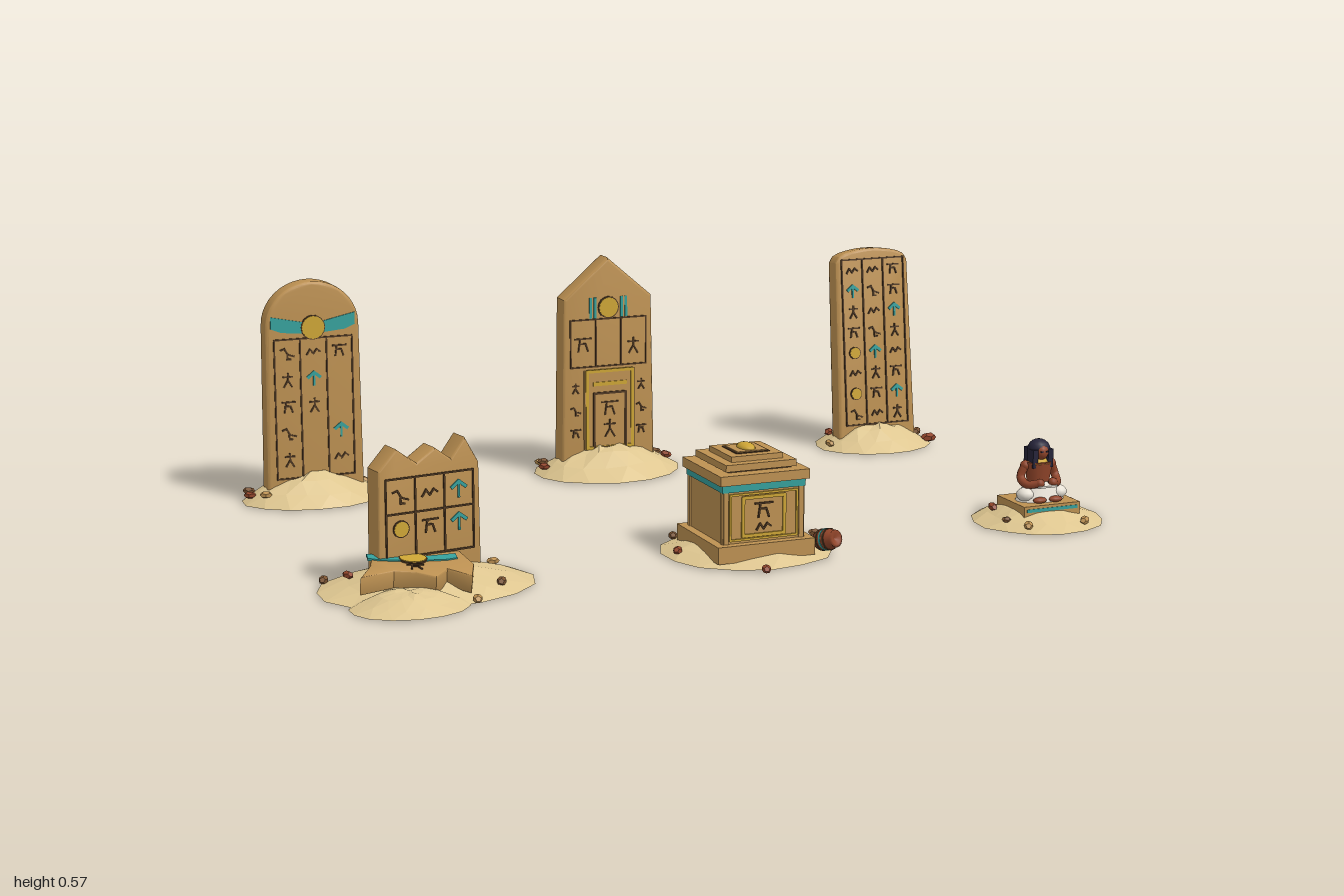
import * as THREE from 'three';
import { mergeGeometries, toCreasedNormals } from 'three/addons/utils/BufferGeometryUtils.js';

const mat = (name, color, flat = false) => {
  const m = new THREE.MeshStandardMaterial({ color, flatShading: flat });
  m.name = name;
  return m;
};
const M = {
  stone: mat('sandstone', 0xbd9152), sand: mat('sand', 0xdec690, true),
  dark: mat('carved shadow', 0x4f3822), teal: mat('turquoise', 0x35a09c),
  gold: mat('gold', 0xcda535), skin: mat('terracotta', 0x91452a),
  hair: mat('black hair', 0x26243a), linen: mat('white linen', 0xe8e2d6),
  rock: mat('brown rock', 0x7a5230, true),
};

let seed = 7;
const rnd = () => (seed = (seed * 16807) % 2147483647) / 2147483647;

function add(parent, name, geo, material, x = 0, y = 0, z = 0, rx = 0, ry = 0, rz = 0) {
  const m = new THREE.Mesh(geo, material);
  m.name = name;
  m.position.set(x, y, z);
  m.rotation.set(rx, ry, rz);
  parent.add(m);
  return m;
}
const box = (w, h, d) => new THREE.BoxGeometry(w, h, d);
function group(parent, name, x, z, rx = 0, ry = 0) {
  const g = new THREE.Group();
  g.name = name;
  g.position.set(x, 0, z);
  g.rotation.set(rx, ry, 0);
  parent.add(g);
  return g;
}
function slab(points, depth, b = 0.008) {
  const geo = new THREE.ExtrudeGeometry(new THREE.Shape(points.map(p => new THREE.Vector2(...p))),
    { depth: depth - 2 * b, bevelThickness: b, bevelSize: b, bevelOffset: -b, bevelSegments: 3 });
  geo.translate(0, 0, -depth / 2 + b);
  return toCreasedNormals(geo, 0.6);
}

// Low-poly sand heap: rings of jittered points, closed underneath
const RINGS = [[1, 0], [0.78, 0.42], [0.5, 0.82], [0.25, 1]];
function mound(parent, x, z, rx, rz, h, pebbles = []) {
  const n = 15, pos = [], idx = [];
  RINGS.forEach(([r, y], k) => {
    for (let i = 0; i < n; i++) {
      const a = (i + (k % 2) * 0.5) / n * Math.PI * 2, j = 1 - rnd() * (k ? 0.13 : 0.06);
      pos.push(Math.cos(a) * rx * r * j, h * y * (0.88 + rnd() * 0.2), Math.sin(a) * rz * r * j);
    }
  });
  pos.push(0, h, 0, 0, 0, 0);
  const top = n * RINGS.length;
  for (let i = 0; i < n; i++) {
    const j = (i + 1) % n;
    for (let k = 0; k < RINGS.length - 1; k++) {
      const a = k * n + i, b = k * n + j, c = a + n, d = b + n;
      if (k % 2) idx.push(a, d, b, a, c, d); else idx.push(a, c, b, b, c, d);
    }
    idx.push(top - n + i, top, top - n + j, i, j, top + 1);
  }
  const geo = new THREE.BufferGeometry();
  geo.setAttribute('position', new THREE.Float32BufferAttribute(pos, 3));
  geo.setIndex(idx);
  const flat = geo.toNonIndexed();
  flat.computeVertexNormals();
  add(parent, 'sandMound', flat, M.sand, x, 0, z);
  // loose stones on the slope
  pebbles.forEach(([px, pz, s = 0.014], i) => {
    const r = Math.hypot((px - x) / rx, (pz - z) / rz);
    const p = add(parent, 'pebble', new THREE.DodecahedronGeometry(s), [M.rock, M.skin, M.stone][i % 3],
      px, Math.max(0, h * (1 - r) * 1.6) + s * 0.5, pz, rnd() * 0.4, rnd() * 3, 0);
    p.scale.set(1.15, 0.65, 0.8);
  });
}

// Thin painted and incised details, merged by colour
function carver(parent, z) {
  const bins = { dark: [], teal: [], gold: [] };
  const put = (c, g) => { bins[c].push(g.index ? g.toNonIndexed() : g); };
  const api = {
    line(c, x1, y1, x2, y2, w = 0.004) {
      const g = box(Math.hypot(x2 - x1, y2 - y1) + w * 0.6, w, 0.006);
      g.rotateZ(Math.atan2(y2 - y1, x2 - x1));
      put(c, g.translate((x1 + x2) / 2, (y1 + y2) / 2, z));
    },
    path(c, x, y, s, pts, w) {
      for (let i = 2; i < pts.length; i += 2)
        api.line(c, x + pts[i - 2] * s, y + pts[i - 1] * s, x + pts[i] * s, y + pts[i + 1] * s, w);
    },
    frame(c, x0, y0, x1, y1, w) { api.path(c, 0, 0, 1, [x0, y0, x1, y0, x1, y1, x0, y1, x0, y0], w); },
    disc(c, x, y, r, d = 0.008) { put(c, new THREE.CylinderGeometry(r, r, d, 16).rotateX(Math.PI / 2).translate(x, y, z)); },
    poly(c, pts) {
      const s = new THREE.Shape(pts.map(p => new THREE.Vector2(...p)));
      put(c, new THREE.ExtrudeGeometry(s, { depth: 0.006, bevelEnabled: false }).translate(0, 0, z - 0.003));
    },
    // small picture signs: ripple, palm, walker, disc, table, bird (-1 leaves a gap)
    sign(kind, x, y, s = 0.014) {
      if (kind === 0) api.path('dark', x, y, s, [-1, -0.4, -0.5, 0.4, 0, -0.3, 0.5, 0.4, 1, 0]);
      if (kind === 1) { api.path('teal', x, y, s, [0, -1, 0, 1], 0.005); api.path('teal', x, y, s, [-0.9, 0.2, 0, 0.9, 0.9, 0.2], 0.008); }
      if (kind === 2) { api.path('dark', x, y, s, [-0.6, -1, 0, 0, 0.6, -1]); api.path('dark', x, y, s, [0, 0, 0, 1]); api.path('dark', x, y, s, [-0.7, 0.5, 0.7, 0.5]); }
      if (kind === 3) { api.disc('dark', x, y, s * 1.05, 0.006); api.disc('gold', x, y, s * 0.92); }
      if (kind === 4) { api.path('dark', x, y, s, [-1, 0.7, 1, 0.7]); api.path('dark', x, y, s, [-0.6, -0.8, -0.4, 0.6]); api.path('dark', x, y, s, [0.6, -0.8, 0.3, 0.1, -0.3, 0.1]); }
      if (kind === 5) { api.path('dark', x, y, s, [-1, 0.5, -0.4, 0.7, 0.1, -0.2, 1, -0.5]); api.path('dark', x, y, s, [0, -0.2, 0, -0.9, 0.5, -0.9]); }
    },
    wingedDisc(y, w, r) {
      for (const s of [-1, 1])
        api.poly('teal', [[s * r * 0.8, y - 0.014], [s * w * 0.75, y - 0.009], [s * w, y + 0.002], [s * w, y + 0.032], [s * r * 0.8, y + 0.014]]);
      api.disc('dark', 0, y, r * 1.08, 0.007);
      api.disc('gold', 0, y, r, 0.01);
    },
    done() {
      for (const c in bins) if (bins[c].length) add(parent, c + 'Carving', mergeGeometries(bins[c]), M[c]);
    },
  };
  return api;
}

function roundStele(root) {
  mound(root, -0.755, -0.505, 0.19, 0.14, 0.07, [[-0.91, -0.55], [-0.92, -0.5], [-0.89, -0.455], [-0.59, -0.52], [-0.585, -0.47, 0.017], [-0.605, -0.565]]);
  const g = group(root, 'roundStele', -0.753, -0.505);
  const pts = [[-0.125, 0.015], [0.125, 0.015]];
  for (let i = 0; i <= 20; i++) {
    const a = i / 20 * Math.PI;
    pts.push([Math.cos(a) * 0.12, 0.445 + Math.sin(a) * 0.112]);
  }
  add(g, 'roundSlab', slab(pts, 0.056), M.stone);
  const c = carver(g, 0.028);
  c.wingedDisc(0.442, 0.108, 0.029);
  c.frame('dark', -0.1, 0.06, 0.1, 0.415);
  for (const x of [-0.034, 0.034]) c.line('dark', x, 0.06, x, 0.415);
  [5, 0, 4, 2, 1, -1, 4, 2, -1, 5, -1, 1, 2, -1, 0].forEach((k, i) => c.sign(k, (i % 3 - 1) * 0.067, 0.38 - Math.floor(i / 3) * 0.068, 0.017));
  c.done();
}

function gableStele(root) {
  mound(root, 0.04, -0.5, 0.205, 0.16, 0.075, [[-0.12, -0.55], [-0.135, -0.5], [-0.11, -0.6], [0.2, -0.55], [0.21, -0.5]]);
  const g = group(root, 'gableStele', 0.037, -0.505);
  add(g, 'gableSlab', slab([[-0.13, 0.015], [0.13, 0.015], [0.122, 0.465], [0, 0.57], [-0.122, 0.465]], 0.06), M.stone);
  const c = carver(g, 0.03);
  c.disc('dark', 0, 0.44, 0.029, 0.007);
  c.disc('gold', 0, 0.44, 0.026, 0.01);
  for (const s of [-1, 1]) for (const k of [0.037, 0.049]) c.line('teal', s * k, 0.415, s * k, 0.465, 0.007);
  c.frame('dark', -0.105, 0.285, 0.105, 0.41);
  for (const x of [-0.035, 0.035]) c.line('dark', x, 0.285, x, 0.41);
  c.sign(4, -0.07, 0.345, 0.022); c.sign(2, 0.07, 0.335, 0.02);
  for (const s of [-1, 1]) [0.23, 0.17, 0.11].forEach((y, i) => c.sign([2, 5, 4][i], s * 0.092, y, 0.013));
  c.done();
  // false door in a gilded frame
  add(g, 'falseDoor', box(0.14, 0.21, 0.012), M.stone, 0, 0.17, 0.033);
  const d = carver(g, 0.039);
  d.frame('gold', -0.063, 0.07, 0.063, 0.274, 0.008);
  d.line('gold', -0.044, 0.24, 0.044, 0.24, 0.01);
  d.frame('dark', -0.044, 0.07, 0.044, 0.215, 0.006);
  d.sign(4, 0, 0.175, 0.022); d.sign(2, 0, 0.12, 0.022);
  d.done();
}

function leaningStele(root) {
  mound(root, 0.83, -0.51, 0.17, 0.14, 0.065, [[0.98, -0.535], [0.975, -0.455, 0.02], [0.685, -0.48], [0.96, -0.6], [0.715, -0.55]]);
  const g = group(root, 'leaningStele', 0.83, -0.5, -0.11);
  const pts = [[-0.115, 0.015], [0.115, 0.015], [0.108, 0.505], [0.097, 0.522]];
  for (let i = 0; i <= 8; i++) { const t = 1 - i / 4; pts.push([t * 0.08, 0.541 - t * t * 0.011]); }
  pts.push([-0.097, 0.522], [-0.108, 0.505]);
  add(g, 'leaningSlab', slab(pts, 0.052), M.stone);
  const c = carver(g, 0.027);
  c.frame('dark', -0.093, 0.06, 0.093, 0.512);
  for (const x of [-0.031, 0.031]) c.line('dark', x, 0.06, x, 0.512);
  const order = [0, 0, 4, 1, 5, 4, 2, 0, 1, 4, 5, 2, 3, 1, 0, 0, 2, 4, 3, 4, 1, 5, 0, 2];
  order.forEach((k, i) => c.sign(k, (i % 3 - 1) * 0.062, 0.482 - Math.floor(i / 3) * 0.056, 0.016));
  c.done();
}

function brokenStele(root) {
  mound(root, -0.745, 0.395, 0.258, 0.19, 0.05, [[-0.95, 0.29], [-0.71, 0.225], [-0.55, 0.295], [-0.6, 0.5], [-0.91, 0.35], [-0.68, 0.57]]);
  mound(root, -0.825, 0.535, 0.14, 0.113, 0.035);
  const g = group(root, 'brokenStele', -0.735, 0.365, 0, 0.15);
  add(g, 'brokenStump', slab([[-0.127, 0.015], [0.127, 0.015], [0.124, 0.27], [0.09, 0.33], [0.055, 0.285], [0.015, 0.315], [-0.03, 0.285], [-0.08, 0.322], [-0.124, 0.275]], 0.06, 0.005), M.stone);
  const c = carver(g, 0.03);
  c.frame('dark', -0.108, 0.075, 0.108, 0.255);
  c.line('dark', -0.108, 0.175, 0.108, 0.175);
  for (const x of [-0.036, 0.036]) c.line('dark', x, 0.075, x, 0.255);
  [5, 0, 1, 3, 4, 1].forEach((k, i) => c.sign(k, (i % 3 - 1) * 0.072, i < 3 ? 0.215 : 0.14, 0.019));
  c.done();
  // fallen top lying face up
  const f = group(root, 'fallenTop', -0.785, 0.44, -Math.PI / 2 + 0.08, 0.04);
  f.position.y = 0.05;
  f.rotation.z = -0.17;
  add(f, 'fallenSlab', slab([[-0.13, -0.098], [-0.051, -0.054], [-0.005, -0.062], [0.037, -0.095], [0.068, -0.044], [0.117, -0.091], [0.133, -0.008], [0.111, 0.09], [-0.089, 0.046], [-0.099, -0.017]], 0.042, 0.004), M.stone);
  const d = carver(f, 0.021);
  d.wingedDisc(0.02, 0.1, 0.03);
  d.sign(4, 0, -0.032, 0.018);
  d.done();
}

function altar(root) {
  mound(root, 0.05, 0.38, 0.215, 0.195, 0.045, [[-0.075, 0.23], [-0.13, 0.39], [0.23, 0.29], [0.245, 0.34], [0.01, 0.58], [0.1, 0.23]]);
  const g = group(root, 'altar', 0.04, 0.395);
  // [part, width, bottom, top, material]
  [['plinth', 0.245, 0.01, 0.05, 'stone'], ['body', 0.202, 0.05, 0.172, 'stone'], ['turquoiseBand', 0.21, 0.172, 0.19, 'teal'],
    ['cornice', 0.225, 0.19, 0.213, 'stone'], ['shadowLine', 0.16, 0.213, 0.217, 'dark'], ['upperStep', 0.178, 0.217, 0.233, 'stone'],
    ['topStep', 0.13, 0.233, 0.246, 'stone']].forEach(([n, w, a, b, m]) => add(g, n, box(w, b - a, w), M[m], 0, (a + b) / 2));
  add(g, 'topRecess', box(0.085, 0.004, 0.085), M.dark, 0, 0.246);
  add(g, 'topPanel', box(0.075, 0.006, 0.075), M.stone, 0, 0.247);
  add(g, 'goldOffering', new THREE.SphereGeometry(0.025, 14, 10), M.gold, 0, 0.25).scale.set(0.8, 0.5, 1.3);
  for (let i = 0; i < 4; i++) {
    const side = group(g, 'altarSide', 0, 0, 0, i * Math.PI / 2);
    for (const s of [-1, 1]) add(side, 'cornerPost', box(0.012, 0.122, 0.006), M.stone, s * 0.095, 0.111, 0.101);
  }
  const c = carver(g, 0.102);
  c.frame('gold', -0.084, 0.058, 0.084, 0.165, 0.005);
  c.frame('gold', -0.052, 0.066, 0.052, 0.156, 0.008);
  c.sign(4, 0, 0.125, 0.022); c.sign(0, 0, 0.085, 0.018);
  c.done();
  // toppled jar
  const j = group(root, 'jar', 0.192, 0.518, 1.3, 0);
  j.position.y = 0.043;
  j.rotation.z = -0.35;
  const prof = [[0, -0.03], [0.019, -0.03], [0.025, -0.018], [0.025, 0.012], [0.017, 0.02], [0.021, 0.03], [0.014, 0.031], [0, 0.024]];
  add(j, 'jarBody', new THREE.LatheGeometry(prof.map(p => new THREE.Vector2(...p)), 14), M.skin);
  for (const [y, m] of [[-0.012, 'dark'], [-0.001, 'teal'], [0.01, 'dark']])
    add(j, 'jarStripe', new THREE.CylinderGeometry(0.0262, 0.0262, 0.005, 16), M[m], 0, y);
}

function scribe(root) {
  mound(root, 0.825, 0.392, 0.168, 0.16, 0.043, [[0.82, 0.27], [0.725, 0.35], [0.74, 0.5], [0.71, 0.445, 0.011], [0.93, 0.365], [0.89, 0.51]]);
  const g = group(root, 'scribe', 0.828, 0.393);
  add(g, 'seatSlab', box(0.155, 0.034, 0.135), M.stone, 0, 0.035);
  add(g, 'slabStripe', box(0.14, 0.008, 0.004), M.teal, 0, 0.041, 0.067);
  // crossed legs under a kilt
  add(g, 'kilt', new THREE.CylinderGeometry(0.046, 0.064, 0.034, 16), M.linen, 0, 0.068, 0.004).scale.z = 0.66;
  add(g, 'torso', new THREE.CylinderGeometry(0.038, 0.027, 0.064, 14), M.skin, 0, 0.114, -0.004).scale.z = 0.75;
  add(g, 'collar', new THREE.CylinderGeometry(0.018, 0.036, 0.012, 16), M.gold, 0, 0.148, -0.004).scale.z = 0.8;
  add(g, 'neck', new THREE.CylinderGeometry(0.009, 0.01, 0.016, 10), M.skin, 0, 0.155, -0.003);
  add(g, 'face', new THREE.SphereGeometry(0.018, 14, 10), M.skin, 0, 0.171, 0.008).scale.y = 1.1;
  add(g, 'wig', new THREE.SphereGeometry(0.028, 14, 10), M.hair, 0, 0.177, -0.005).scale.set(1, 0.86, 0.95);
  add(g, 'wigBack', box(0.052, 0.042, 0.022), M.hair, 0, 0.158, -0.02);
  add(g, 'papyrus', box(0.05, 0.005, 0.028), M.linen, 0, 0.093, 0.034, 0.15);
  for (const s of [-1, 1]) {
    add(g, 'wigLappet', box(0.014, 0.045, 0.03), M.hair, s * 0.021, 0.155, 0.003);
    add(g, 'eye', box(0.007, 0.003, 0.004), M.hair, s * 0.007, 0.174, 0.0245);
    add(g, 'knee', new THREE.SphereGeometry(0.02, 12, 8), M.linen, s * 0.045, 0.069, 0.014).scale.set(1.15, 0.85, 1.1);
    add(g, 'foot', new THREE.SphereGeometry(0.011, 10, 8), M.skin, s * 0.022, 0.059, 0.045).scale.set(1.7, 0.7, 1);
    const arm = new THREE.CatmullRomCurve3([[0.037, 0.137, -0.006], [0.048, 0.108, -0.006], [0.042, 0.094, 0.016], [0.018, 0.099, 0.036]]
      .map(p => new THREE.Vector3(s * p[0], p[1], p[2])));
    add(g, 'arm', new THREE.TubeGeometry(arm, 12, 0.0105, 8), M.skin);
    add(g, 'shoulder', new THREE.SphereGeometry(0.0125, 10, 8), M.skin, s * 0.036, 0.137, -0.006);
    add(g, 'hand', new THREE.SphereGeometry(0.0115, 10, 8), M.skin, s * 0.018, 0.099, 0.036);
  }
}

export function createModel() {
  const root = new THREE.Group();
  root.name = 'templeRuins';
  for (const build of [roundStele, gableStele, leaningStele, brokenStele, altar, scribe]) build(root);
  return root;
}
